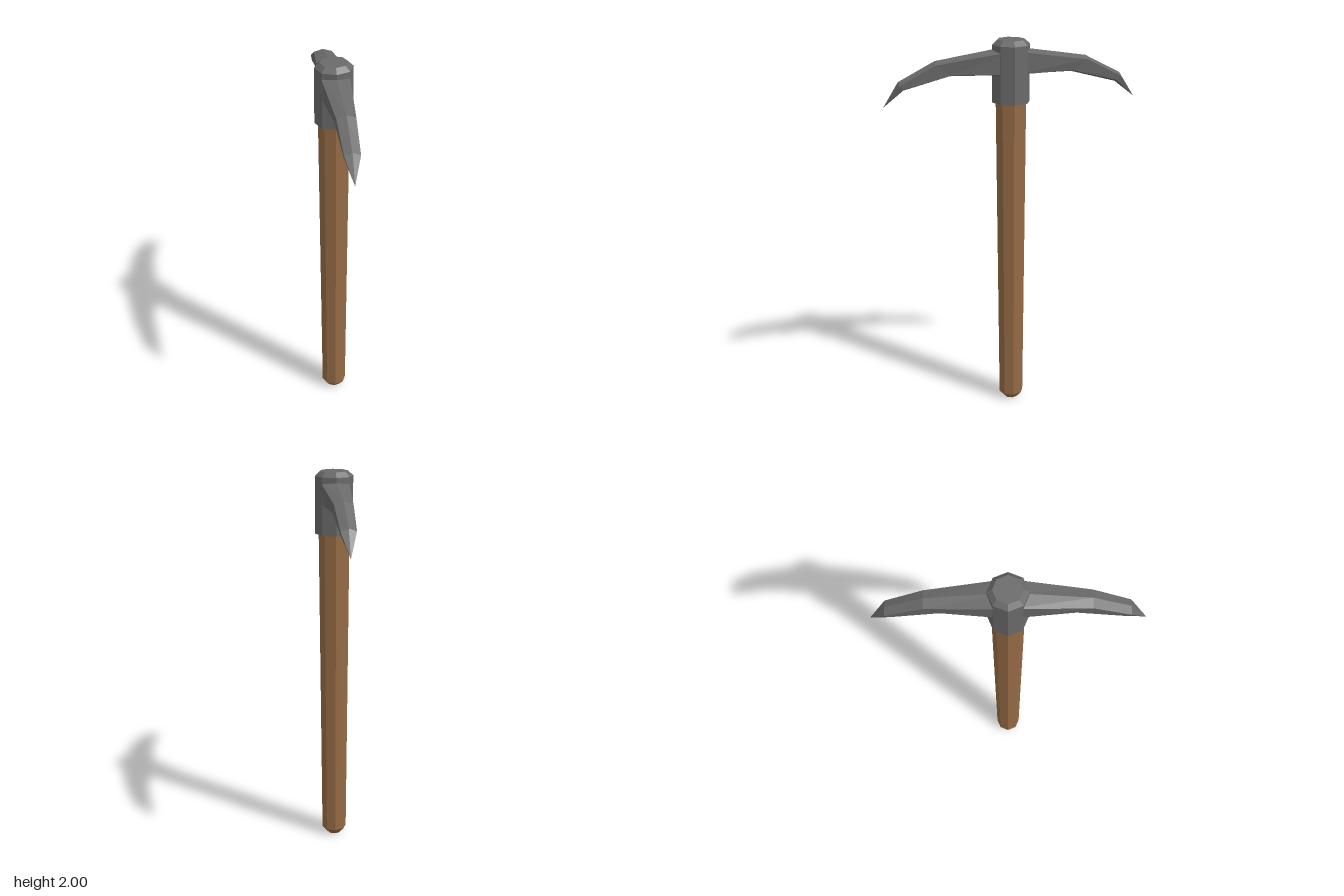
import * as THREE from 'three';

const wood = new THREE.MeshStandardMaterial({ color: 0x966b45, flatShading: true });
const steel = new THREE.MeshStandardMaterial({ color: 0x6a6a6a, flatShading: true });

// Eight-sided turned part from [radius, y] pairs, listed from bottom to top
function octagonal(name, profile, material) {
  const points = profile.map(([r, y]) => new THREE.Vector2(r, y));
  const mesh = new THREE.Mesh(new THREE.LatheGeometry(points, 8), material);
  mesh.name = name;
  return mesh;
}

// Curved spike along +z, lofted through six-sided sections and closed at a tip
function spikeGeometry() {
  // top z, top y, bottom z, bottom y, half width
  const sections = [
    [0, 1.965, 0, 1.82, 0.075],
    [0.39, 1.905, 0.315, 1.825, 0.047],
    [0.575, 1.808, 0.55, 1.763, 0.039],
  ];
  const tip = [0, 1.68, 0.655];
  const rings = sections.map(([tz, ty, bz, by, w]) => [
    [0, ty, tz],
    [w, ty - 0.014, tz],
    [w * 0.95, by + 0.012, bz],
    [0, by, bz],
    [-w * 0.95, by + 0.012, bz],
    [-w, ty - 0.014, tz],
  ]);
  const positions = [];
  const triangle = (a, b, c) => positions.push(...a, ...b, ...c);
  for (let i = 0; i < 6; i++) {
    const j = (i + 1) % 6;
    for (let s = 0; s < rings.length - 1; s++) {
      const [near, far] = [rings[s], rings[s + 1]];
      triangle(near[i], far[i], far[j]);
      triangle(near[i], far[j], near[j]);
    }
    const last = rings[rings.length - 1];
    triangle(last[i], tip, last[j]);
  }
  const geometry = new THREE.BufferGeometry();
  geometry.setAttribute('position', new THREE.Float32BufferAttribute(positions, 3));
  geometry.computeVertexNormals();
  return geometry;
}

export function createModel() {
  const model = new THREE.Group();
  model.name = 'pickaxe';

  // Tapered wooden handle with a chamfered foot
  model.add(octagonal('handle', [[0, 0], [0.036, 0], [0.065, 0.033], [0.08, 1.7]], wood));

  // Steel collar with a chamfered top
  model.add(octagonal('collar', [[0, 1.68], [0.098, 1.68], [0.098, 1.975], [0.072, 2], [0, 2]], steel));

  // Matching front and back spikes
  const geometry = spikeGeometry();
  ['frontSpike', 'backSpike'].forEach((name, i) => {
    const spike = new THREE.Mesh(geometry, steel);
    spike.name = name;
    spike.rotation.y = i * Math.PI;
    model.add(spike);
  });

  return model;
}
